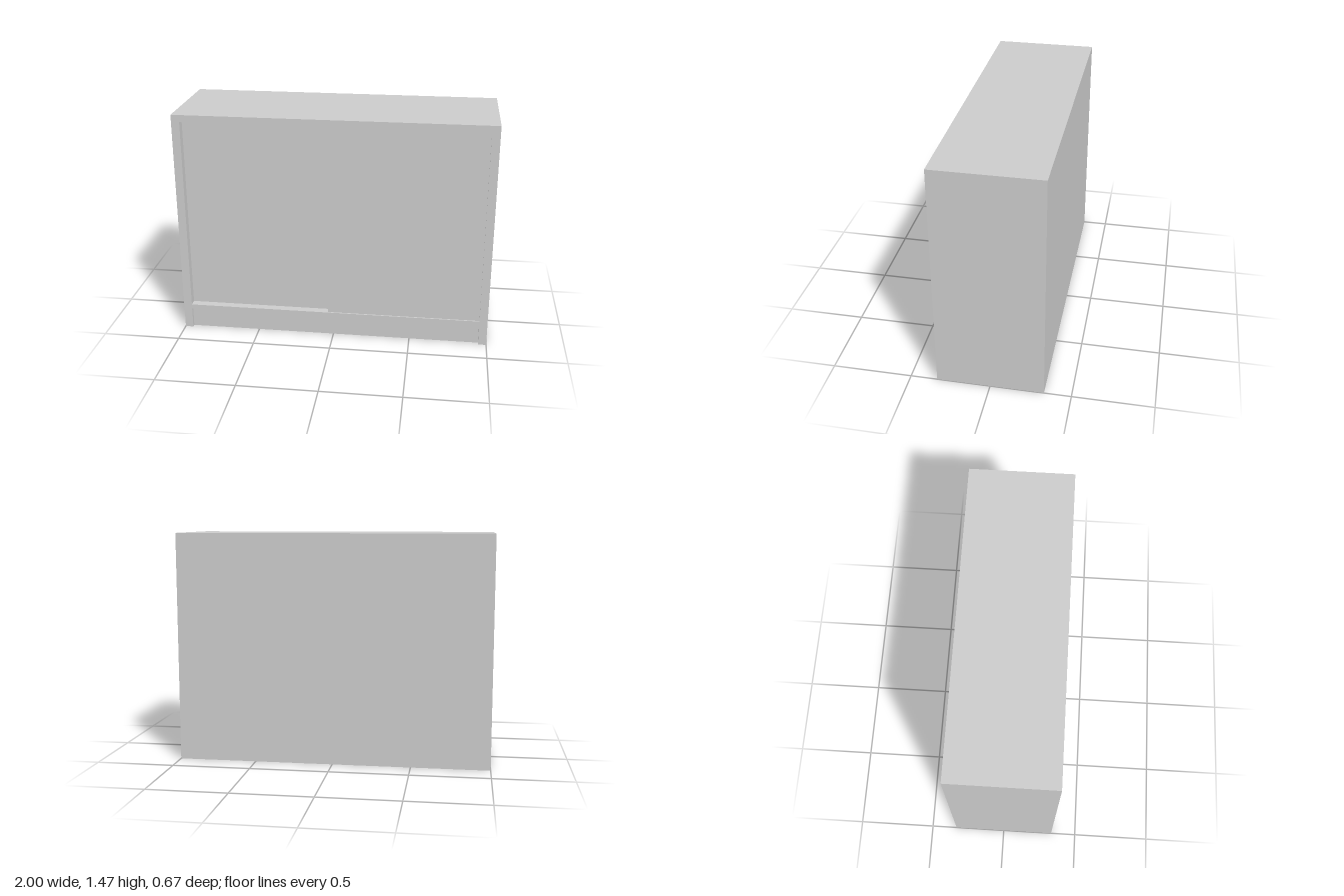
import * as THREE from 'three';

export function createModel() {
  const group = new THREE.Group();
  const material = new THREE.MeshStandardMaterial({ color: 0xcccccc });

  // Box given by its lower and upper corners
  const panel = (name, [x0, y0, z0], [x1, y1, z1]) => {
    const mesh = new THREE.Mesh(new THREE.BoxGeometry(x1 - x0, y1 - y0, z1 - z0), material);
    mesh.position.set((x0 + x1) / 2, (y0 + y1) / 2, (z0 + z1) / 2);
    mesh.name = name;
    group.add(mesh);
  };

  const W = 1, H = 1.467, D = 0.333; // half width, height, half depth
  const inX = 0.948;                 // inner face of the side panels
  const plinthTop = 0.135, floorTop = 0.167, ceiling = 1.423;

  // Carcass
  panel('leftSide', [inX, 0, -D], [W, H, D]);
  panel('rightSide', [-W, 0, -D], [-inX, H, D]);
  panel('topPanel', [-inX, ceiling, -D], [inX, H, D]);
  panel('bottomPanel', [-inX, plinthTop, -D], [inX, floorTop, D]);
  panel('backPanel', [-inX, floorTop, -D], [inX, ceiling, -D + 0.03]);

  // Closed base, set back a little at the front
  panel('plinth', [-inX, 0, -D], [inX, plinthTop, D - 0.023]);

  // Two sliding doors on separate tracks, overlapping in the middle
  panel('frontDoor', [-0.035, floorTop, D - 0.045], [inX, ceiling, D - 0.009]);
  panel('rearDoor', [-inX, floorTop, D - 0.087], [0.035, ceiling, D - 0.051]);

  return group;
}
